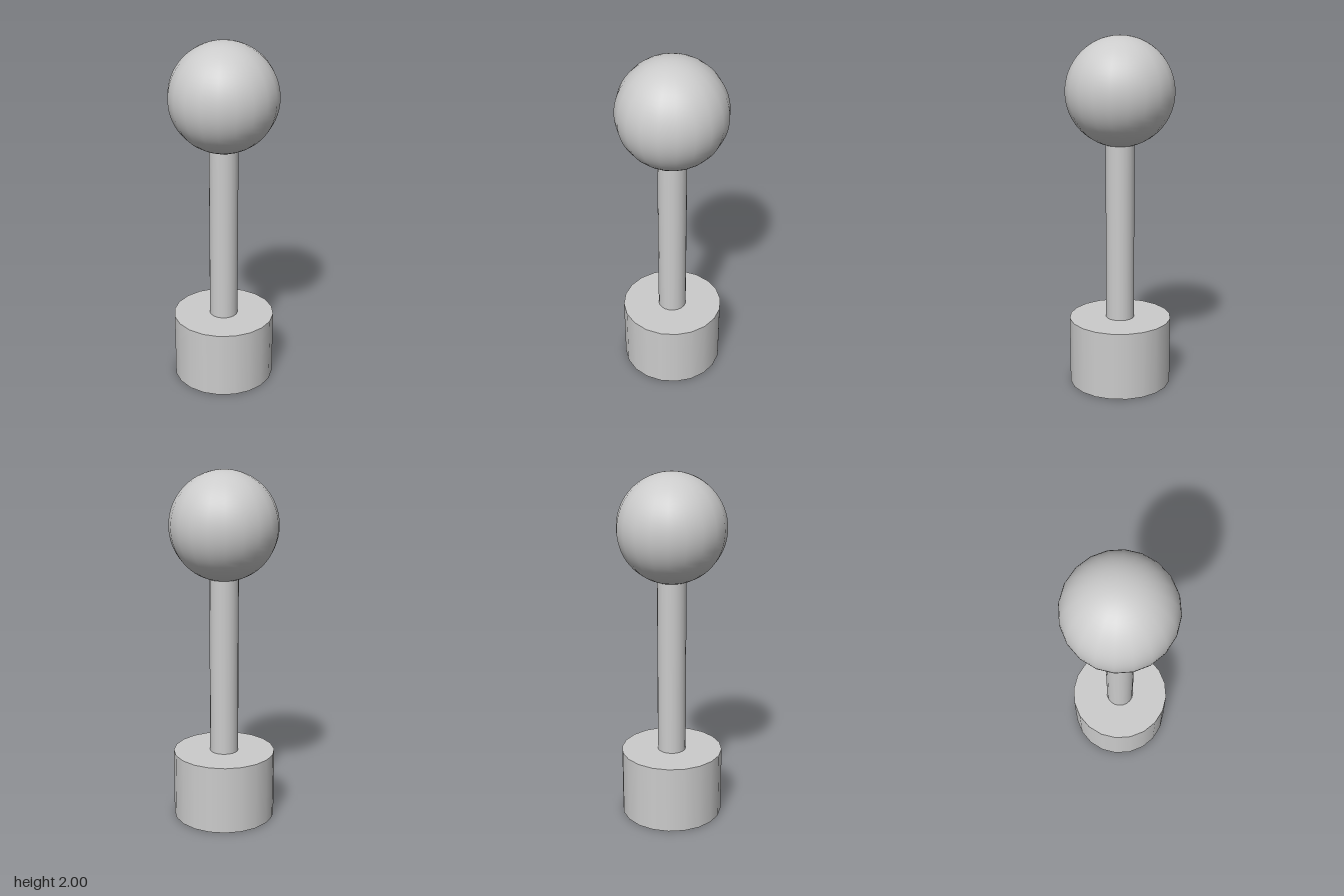
import * as THREE from 'three';

const SIDES = 20;

export function createModel() {
  const model = new THREE.Group();
  const material = new THREE.MeshStandardMaterial({ color: 0xcccccc });

  const add = (name, geometry, y) => {
    const mesh = new THREE.Mesh(geometry, material);
    mesh.name = name;
    mesh.position.y = y;
    model.add(mesh);
  };

  const baseHeight = 0.39;
  const ballRadius = 0.305;
  const ballY = 2 - ballRadius;
  const stemTop = ballY - ballRadius + 0.03; // ends just inside the ball

  // Heavy round base
  add('base', new THREE.CylinderGeometry(0.294, 0.294, baseHeight, SIDES), baseHeight / 2);

  // Slim upright stem
  const stemHeight = stemTop - baseHeight;
  add('stem', new THREE.CylinderGeometry(0.082, 0.082, stemHeight, SIDES), baseHeight + stemHeight / 2);

  // Ball on top
  add('ball', new THREE.SphereGeometry(ballRadius, SIDES, 32), ballY);

  return model;
}
